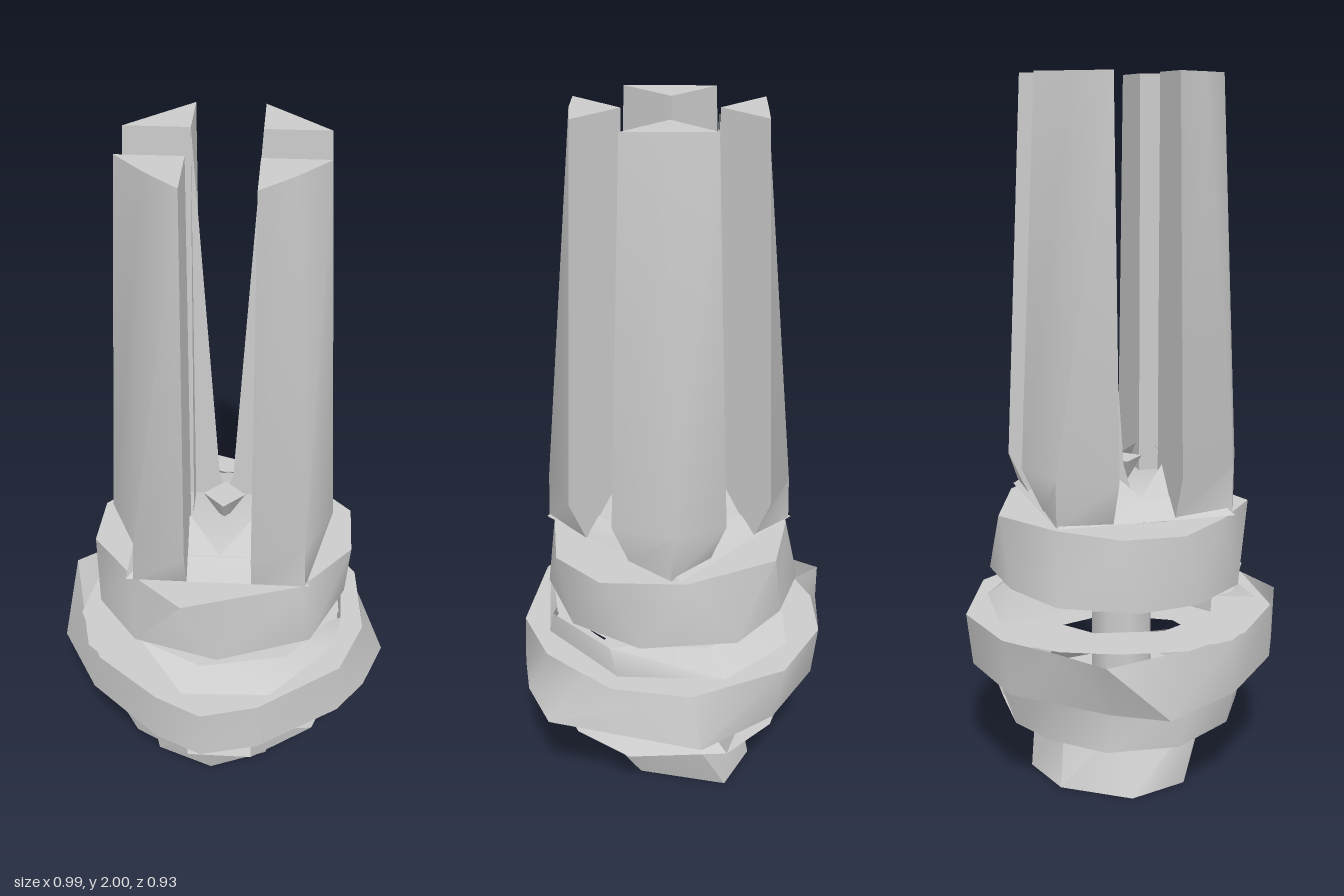
import * as THREE from 'three';
import { toCreasedNormals } from 'three/addons/utils/BufferGeometryUtils.js';

const material = new THREE.MeshStandardMaterial({ color: 0xcccccc, side: THREE.DoubleSide });

// Regular loop of [x, z] points
const ring = (n, r, phase = 0) => Array.from({ length: n }, (_, i) => {
  const a = phase + (i / n) * Math.PI * 2;
  return [r * Math.cos(a), r * Math.sin(a)];
});

// Flat shape from [x, y] points
const outline = (pts) => new THREE.Shape(pts.map(([x, y]) => new THREE.Vector2(x, y)));

// Skin between loops of equal count, each { y, pts }, with optional end caps
function loft(sections, { bottom = false, top = false, open = false } = {}) {
  const n = sections[0].pts.length, pos = [], idx = [];
  for (const { y, pts } of sections) for (const [x, z] of pts) pos.push(x, y, z);
  for (let s = 0; s < sections.length - 1; s++) {
    for (let i = 0; i < (open ? n - 1 : n); i++) {
      const a = s * n + i, b = s * n + (i + 1) % n;
      idx.push(a, a + n, b, b, a + n, b + n);
    }
  }
  const last = (sections.length - 1) * n;
  for (let i = 1; i < n - 1; i++) {
    if (bottom) idx.push(0, i, i + 1);
    if (top) idx.push(last, last + i + 1, last + i);
  }
  const g = new THREE.BufferGeometry();
  g.setAttribute('position', new THREE.Float32BufferAttribute(pos, 3));
  g.setIndex(idx);
  return toCreasedNormals(g, 0.9);
}

// Flat plate at height y with a hole
function plate(outer, inner, y) {
  const flip = (pts) => pts.map(([x, z]) => [x, -z]);
  const shape = outline(flip(outer));
  shape.holes.push(outline(flip(inner)));
  return new THREE.ShapeGeometry(shape).rotateX(-Math.PI / 2).translate(0, y, 0);
}

export function createModel() {
  const model = new THREE.Group();
  const add = (name, geometry) => {
    const mesh = new THREE.Mesh(geometry, material);
    mesh.name = name;
    model.add(mesh);
  };

  // Twisted foot with a closed underside
  add('foot', loft([
    { y: 0, pts: [[0.17, -0.05], [0.14, 0.13], [-0.03, 0.2], [-0.2, 0.13], [-0.25, -0.04], [-0.13, -0.22], [0.03, -0.27]] },
    { y: 0.2, pts: [[0.23, 0.02], [0.18, 0.18], [-0.02, 0.27], [-0.13, 0.21], [-0.14, -0.02], [-0.1, -0.2], [0.13, -0.23]] },
  ], { bottom: true, top: true }));

  // Slim core between foot and wide collar
  add('core', new THREE.CylinderGeometry(0.09, 0.09, 0.32, 8).translate(0, 0.36, 0));

  // Broken lower collar: curved shell on one side, slanted flap on the other
  const shellBottom = [[-0.09, 0.33], [-0.25, 0.24], [-0.36, 0.06], [-0.34, -0.14], [-0.22, -0.27], [-0.09, -0.34]];
  const flapBottom = [[0.1, 0.33], [0.28, 0.2], [0.34, 0.04], [0.31, -0.15], [0.1, -0.34]];
  add('lowerShell', loft([
    { y: 0.2, pts: shellBottom },
    { y: 0.35, pts: [[-0.09, 0.36], [-0.25, 0.27], [-0.35, 0.1], [-0.35, -0.12], [-0.25, -0.29], [-0.09, -0.39]] },
  ], { open: true }));
  add('lowerFlap', loft([
    { y: 0.2, pts: flapBottom },
    { y: 0.35, pts: [[0.1, 0.36], [0.11, 0.2], [0.11, 0.04], [0.11, -0.15], [0.1, -0.39]] },
  ], { open: true }));
  add('lowerCollarUnderside', plate([...shellBottom, ...flapBottom.slice().reverse()], ring(8, 0.22), 0.2));

  // Wide irregular collar with open middle
  const wideBottom = [[0.49, -0.01], [0.43, 0.15], [0.35, 0.26], [0.12, 0.42], [-0.04, 0.46], [-0.17, 0.4],
    [-0.38, 0.21], [-0.5, -0.01], [-0.42, -0.15], [-0.22, -0.38], [0.02, -0.44], [0.27, -0.4]];
  const wideTop = [[0.41, -0.08], [0.42, 0.07], [0.35, 0.25], [0.12, 0.42], [-0.04, 0.465], [-0.17, 0.4],
    [-0.39, 0.2], [-0.48, -0.18], [-0.35, -0.28], [-0.22, -0.4], [0, -0.46], [0.27, -0.36]];
  const wideRim = [[0.4, -0.18], [0.42, 0.07], [0.35, 0.25], [0.12, 0.42], [-0.17, 0.4],
    [-0.35, 0.25], [-0.43, 0.06], [-0.4, -0.12], [-0.34, -0.27], [-0.22, -0.4], [0, -0.46], [0.27, -0.36]];
  add('wideCollar', loft([{ y: 0.35, pts: wideBottom }, { y: 0.51, pts: wideTop }]));
  add('wideCollarTop', plate(wideRim, ring(9, 0.28, 0.2), 0.51));
  add('wideCollarUnderside', plate(wideBottom, ring(8, 0.28, 0.1), 0.35));

  // Waist: sloped shell between the collars, open on one side, under a thin disc
  add('waistShell', loft([
    { y: 0.51, pts: [[-0.1, 0.38], [0.15, 0.37], [0.34, 0.15], [0.35, -0.15], [0.15, -0.37], [-0.1, -0.38]] },
    { y: 0.59, pts: [[-0.26, 0.2], [0.1, 0.27], [0.35, 0.12], [0.35, -0.12], [0.1, -0.27], [-0.26, -0.2]] },
  ], { open: true }));
  add('waistDisc', plate(ring(9, 0.36, 0.3), ring(9, 0.16, 0.3), 0.6));

  // Upper collar: twisted hollow band, pinched in between its top corners
  const upperTop = [[0.37, 0.07], [0.23, 0.24], [-0.1, 0.35], [-0.25, 0.22], [-0.37, 0.07],
    [-0.36, -0.1], [-0.23, -0.25], [-0.05, -0.37], [0.21, -0.28], [0.37, -0.11]];
  add('upperCollar', loft([
    { y: 0.61, pts: [[0.36, 0.02], [0.26, 0.24], [0, 0.34], [-0.24, 0.27], [-0.36, 0.11],
      [-0.38, -0.06], [-0.28, -0.26], [-0.1, -0.35], [0.1, -0.37], [0.31, -0.2]] },
    { y: 0.81, pts: upperTop },
  ]));
  add('upperCollarRim', plate(upperTop, ring(9, 0.24, 0.1), 0.81));

  // Neck, square hub and small pointed centre piece
  add('neck', new THREE.CylinderGeometry(0.07, 0.07, 0.22, 7).translate(0, 0.71, 0));
  add('hub', loft([
    { y: 0.82, pts: [[0.25, 0.25], [-0.26, 0.25], [-0.25, -0.25], [0.23, -0.27]] },
    { y: 0.87, pts: [[0.2, 0.2], [-0.2, 0.2], [-0.2, -0.2], [0.2, -0.2]] },
  ], { bottom: true, top: true }));
  add('centrePoint', new THREE.CylinderGeometry(0.06, 0.01, 0.08, 4).translate(0, 0.9, 0));

  // Notched side plates of the hub, leaning inwards between the prongs
  for (let i = 0; i < 4; i++) {
    add('hubNotch', new THREE.ShapeGeometry(outline([[-0.24, 0], [0.24, 0], [0.09, 0.18], [0, 0.07], [-0.09, 0.18]]))
      .rotateX(-0.74).translate(0, 0.82, 0.24).rotateY(i * Math.PI / 2));
  }

  // Four tapering prongs, one per quadrant
  for (const sx of [1, -1]) for (const sz of [1, -1]) {
    const w = sz > 0 ? 0.08 : 0.095;
    const at = (pts) => pts.map(([x, z]) => [x * sx, z * sz]);
    const sections = [
      { y: 0.82, pts: at([[0.09, w], [0.25, w], [0.24, 0.25], [0.09, 0.25]]) },
      { y: 0.95, pts: at([[0.09, w], [0.31, w], [0.235, 0.25], [0.09, 0.31]]) },
      { y: 2, pts: at([[0.09, w], [0.26, w], [0.178, 0.175], [0.09, 0.26]]) },
    ];
    // keep faces outward whichever way the quadrant is mirrored
    if (sx * sz < 0) sections.forEach((s) => s.pts.reverse());
    add('prong', loft(sections, { top: true }));
  }

  // Thin webs widening towards the middle at the base of the back prongs
  const web = () => new THREE.ShapeGeometry(outline([[0.09, 2], [0.02, 0.94], [0, 0.87], [0.09, 0.87]]));
  for (const s of [1, -1]) add('prongWeb', web().scale(s, 1, 1).translate(0, 0, -0.095));
  add('prongWeb', web().rotateY(Math.PI / 2).translate(-0.09, 0, 0));
  return model;
}
